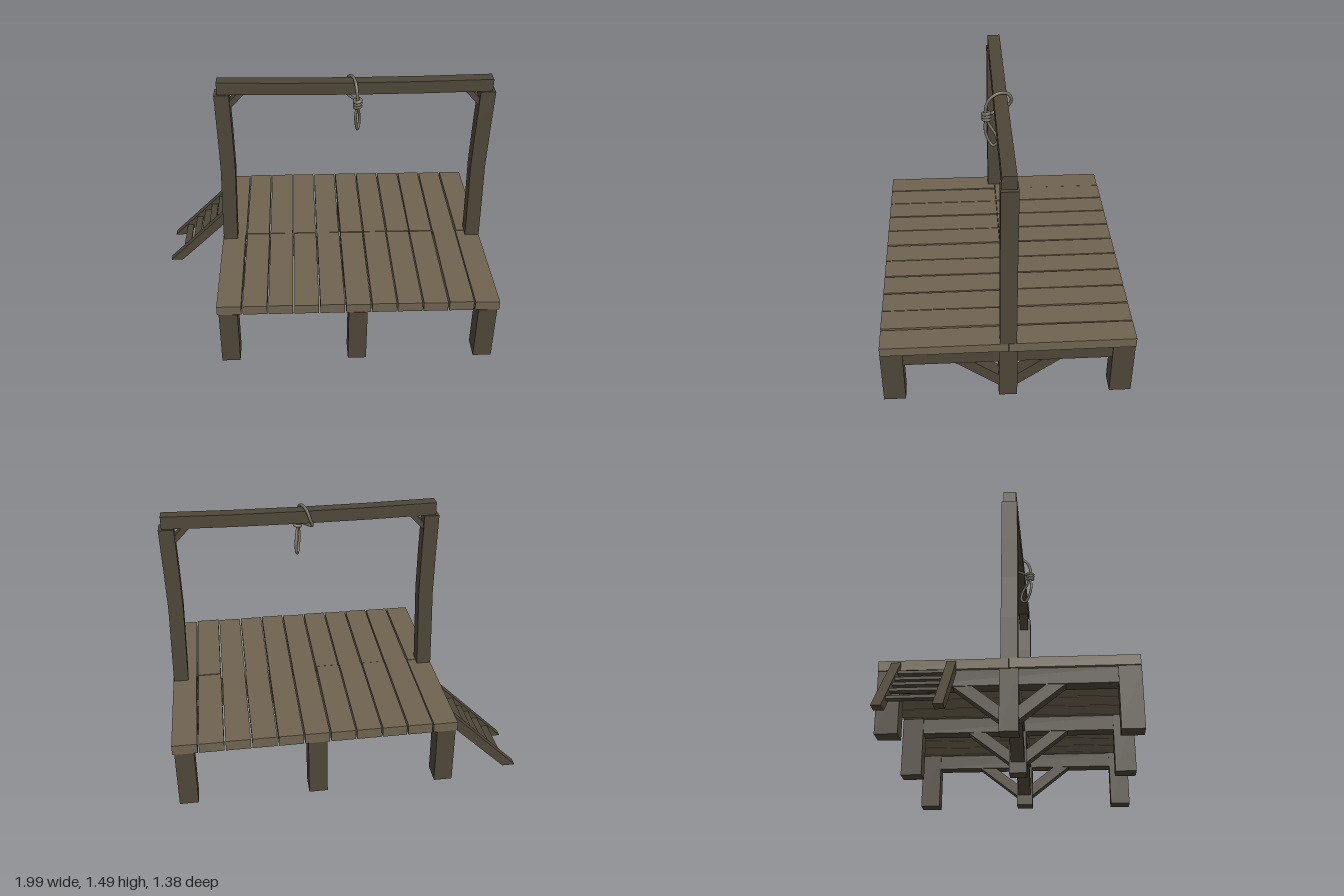
import * as THREE from 'three';

const mat = (color) => new THREE.MeshStandardMaterial({ color, flatShading: true });
const timber = mat(0x4d4638), plankWood = mat(0x6e634f);
const ropeMat = new THREE.MeshStandardMaterial({ color: 0x716e5f });

// small repeatable wobble in -1..1
let seed = 7;
const wobble = () => {
  seed = (seed * 16807) % 2147483647;
  return (seed / 2147483647) * 2 - 1;
};

function add(parent, name, geometry, material) {
  const mesh = new THREE.Mesh(geometry, material);
  mesh.name = name;
  parent.add(mesh);
  return mesh;
}

// box given by its limits
function block(parent, name, [x0, x1], [y0, y1], [z0, z1], material = timber, segs = [1, 1, 1]) {
  const g = new THREE.BoxGeometry(x1 - x0, y1 - y0, z1 - z0, ...segs);
  g.translate((x0 + x1) / 2, (y0 + y1) / 2, (z0 + z1) / 2);
  return add(parent, name, g, material);
}

// moves every vertex of a mesh by a rule
function bend(mesh, rule) {
  const p = mesh.geometry.attributes.position, v = new THREE.Vector3();
  for (let i = 0; i < p.count; i++) {
    rule(v.fromBufferAttribute(p, i));
    p.setXYZ(i, v.x, v.y, v.z);
  }
  mesh.geometry.computeVertexNormals();
  return mesh;
}

// flat profile in x/y, extruded about z = 0
function profile(parent, name, points, depth) {
  const shape = new THREE.Shape(points.map(([x, y]) => new THREE.Vector2(x, y)));
  const g = new THREE.ExtrudeGeometry(shape, { depth, bevelEnabled: false });
  g.translate(0, 0, -depth / 2);
  return add(parent, name, g, timber);
}

function rope(parent, name, points, closed, radius = 0.009) {
  const curve = new THREE.CatmullRomCurve3(points.map((p) => new THREE.Vector3(...p)), closed);
  return add(parent, name, new THREE.TubeGeometry(curve, 48, radius, 8, closed), ropeMat);
}

export function createModel() {
  const model = new THREE.Group();
  model.name = 'timberPlatform';

  // deck: two rows of boards meeting at the middle
  const deck = new THREE.Group();
  deck.name = 'deck';
  model.add(deck);
  const count = 11, x0 = -0.607, pitch = 1.603 / count;
  for (let i = 0; i < count; i++) {
    const a = x0 + i * pitch;
    for (const [z0, z1] of [[-0.692, -0.001], [0.001, 0.69]]) {
      const lift = wobble() * 0.003, skew = wobble() * 0.003;
      const board = block(deck, 'deckBoard', [a + 0.004, a + pitch - 0.004], [0.347, 0.405], [z0, z1], plankWood);
      bend(board, (v) => {
        if (v.y > 0.38) v.y += lift;
        if (Math.abs(v.z) < 0.1) v.x += skew;
      });
    }
  }

  // legs, joists and knee braces below the deck
  const frame = new THREE.Group();
  frame.name = 'underFrame';
  model.add(frame);
  const brace = [[0, 0.065], [0.25, 0.26], [0.25, 0.27], [0.16, 0.27], [0, 0.145]];
  const columns = [-0.54, 0.193, 0.928];
  columns.forEach((x, i) => {
    for (const [z0, z1] of [[-0.692, -0.57], [-0.051, 0.051], [0.57, 0.692]])
      block(frame, 'leg', [x - 0.053, x + 0.053], [0, 0.347], [z0, z1]);
    block(frame, 'joist', [x - 0.046, x + 0.046], [0.257, 0.346], [-0.685, 0.685]);
    for (const s of [1, -1]) {
      const along = profile(frame, 'braceAlongJoist', brace, 0.08);
      along.rotation.y = -s * Math.PI / 2;
      along.position.set(x, 0, s * 0.05);
      if (i + s < 0 || i + s > 2) continue;
      const across = profile(frame, 'braceAcross', brace, 0.08);
      across.rotation.y = s > 0 ? 0 : Math.PI;
      across.position.x = x + s * 0.052;
    }
  });
  block(frame, 'crossBeam', [-0.585, 0.975], [0.258, 0.345], [-0.045, 0.045]);

  // upright posts, slightly bowed, with corner braces
  const upper = new THREE.Group();
  upper.name = 'upperFrame';
  model.add(upper);
  for (const [x, s] of [[-0.552, 1], [0.942, -1]]) {
    const post = block(upper, 'post', [x - 0.043, x + 0.043], [0.4, 1.392], [-0.045, 0.045], timber, [1, 4, 1]);
    bend(post, (v) => { v.x += 0.006 * Math.cos((v.y - 0.4) * 6) * -s; });
    const corner = profile(upper, 'cornerBrace',
      [[-0.01, -0.095], [0.08, 0], [0.08, 0.01], [0.045, 0.01], [-0.01, -0.05]], 0.06);
    corner.rotation.y = s > 0 ? 0 : Math.PI;
    corner.position.set(x + s * 0.043, 1.392, 0);
  }
  // top beam with a light sag
  const beam = block(upper, 'topBeam', [-0.583, 0.973], [1.395, 1.468], [-0.036, 0.038], timber, [4, 1, 1]);
  bend(beam, (v) => { v.y -= 0.01 * (1 - ((v.x - 0.195) / 0.778) ** 2); });

  // ladder
  const ladder = new THREE.Group();
  ladder.name = 'ladder';
  model.add(ladder);
  for (const z of [-0.302, -0.595]) {
    const rail = profile(ladder, 'ladderRail', [[-1, 0], [-0.925, 0], [-0.606, 0.31], [-0.606, 0.39]], 0.05);
    rail.position.z = z;
  }
  [[-0.89, 0.075], [-0.82, 0.142], [-0.76, 0.198], [-0.71, 0.247], [-0.655, 0.305]].forEach(([x, y]) =>
    block(ladder, 'ladderRung', [x - 0.021, x + 0.021], [y - 0.008, y + 0.008], [-0.58, -0.318]));

  // rope: loop over the beam, coiled knot and hanging loop
  const ropes = new THREE.Group();
  ropes.name = 'rope';
  model.add(ropes);
  rope(ropes, 'beamLoop', [
    [0.205, 1.36, 0.08], [0.2, 1.44, 0.068], [0.187, 1.477, 0.015], [0.165, 1.465, -0.038],
    [0.148, 1.42, -0.062], [0.135, 1.375, -0.045], [0.16, 1.366, 0], [0.19, 1.362, 0.045]], true);
  rope(ropes, 'hangingLoop', [
    [0.205, 1.33, 0.078], [0.196, 1.27, 0.086], [0.202, 1.21, 0.073], [0.213, 1.168, 0.045],
    [0.222, 1.19, 0.02], [0.222, 1.245, 0.03], [0.212, 1.3, 0.063]], true, 0.008);
  for (let i = 0; i < 3; i++) {
    const coil = add(ropes, 'knotCoil', new THREE.TorusGeometry(0.018, 0.01, 8, 16), ropeMat);
    coil.rotation.set(Math.PI / 2 + 0.12 * (i - 1), 0.2, 0);
    coil.position.set(0.207, 1.332 + i * 0.018, 0.08);
  }
  return model;
}
